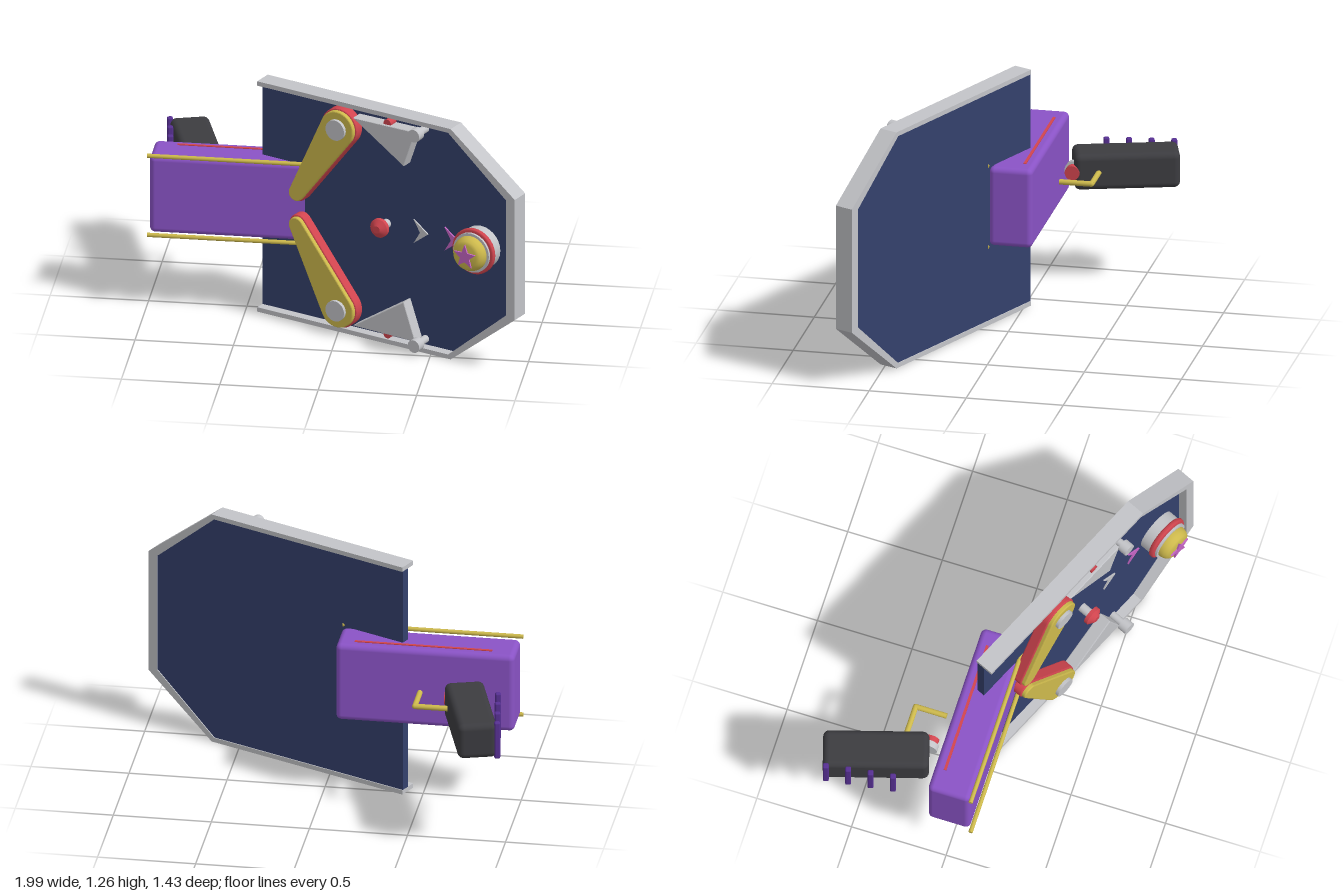
import * as THREE from 'three';
import { RoundedBoxGeometry } from 'three/addons/geometries/RoundedBoxGeometry.js';

const paint = (name, color) => {
  const m = new THREE.MeshStandardMaterial({ color });
  m.name = name;
  return m;
};

export function createModel() {
  const navy = paint('navy', 0x34406c), grey = paint('light grey', 0xc3c4c8);
  const purple = paint('purple', 0x8a53c6), dark = paint('charcoal', 0x3c3c40);
  const yellow = paint('yellow', 0xcdb94c), red = paint('red', 0xd2454f);
  const pink = paint('pink', 0xc565c4), violet = paint('dark violet', 0x573093);

  const model = new THREE.Group();
  model.name = 'pinballShield';

  const add = (parent, name, geo, mat, x = 0, y = 0, z = 0) => {
    const m = new THREE.Mesh(geo, mat);
    m.name = name;
    m.position.set(x, y, z);
    parent.add(m);
    return m;
  };
  const poly = pts => new THREE.Shape(pts.map(p => new THREE.Vector2(p[0], p[1])));
  // Plate with its outline in the board plane, from depth n0 to n1
  const plate = (parent, name, shape, mat, n0, n1, bevel = 0) => add(parent, name,
    new THREE.ExtrudeGeometry(shape, {
      depth: n1 - n0 - 2 * bevel, curveSegments: 20, bevelEnabled: bevel > 0,
      bevelSize: bevel, bevelThickness: bevel, bevelOffset: -bevel, bevelSegments: 2,
    }), mat, 0, 0, n0 + bevel);
  // Round part standing on the board
  const peg = (parent, name, mat, u, v, n0, n1, r0, r1 = r0) => add(parent, name,
    new THREE.CylinderGeometry(r1, r0, n1 - n0, 28).rotateX(Math.PI / 2), mat, u, v, (n0 + n1) / 2);
  // Two circles joined by their outer tangents
  const taper = (ax, ay, ra, bx, by, rb) => {
    const th = Math.atan2(by - ay, bx - ax);
    const beta = Math.acos((ra - rb) / Math.hypot(bx - ax, by - ay));
    const s = new THREE.Shape();
    s.absarc(ax, ay, ra, th + beta, th - beta + Math.PI * 2, false);
    s.absarc(bx, by, rb, th - beta, th + beta, false);
    s.closePath();
    return s;
  };

  // Tilted playfield board
  const board = new THREE.Group();
  board.name = 'board';
  board.position.set(0.278, 0.633, 0.325);
  board.rotation.y = -24 * Math.PI / 180;
  model.add(board);

  const outer = [[-0.763, 0.632], [0.383, 0.632], [0.763, 0.33]];
  const inner = [[-0.763, 0.608], [0.368, 0.608], [0.711, 0.316]];
  const flip = pts => pts.map(([u, v]) => [u, -v]).reverse();
  plate(board, 'playfieldPanel', poly([...inner, ...flip(inner)]), navy, -0.045, 0);
  plate(board, 'rim', poly([...outer, ...flip(outer), ...inner.map(([u, v]) => [u, -v]),
    ...[...inner].reverse()]), grey, -0.05, 0.05);

  // Flippers and slingshots, mirrored top to bottom
  for (const s of [1, -1]) {
    const side = s > 0 ? 'upper' : 'lower';
    plate(board, side + 'FlipperRubber', taper(-0.268, s * 0.496, 0.104, -0.512, s * 0.088, 0.05), red, 0.01, 0.068, 0.006);
    plate(board, side + 'FlipperTop', taper(-0.268, s * 0.496, 0.096, -0.512, s * 0.088, 0.042), yellow, 0.06, 0.09, 0.006);
    peg(board, side + 'FlipperPivot', grey, -0.268, s * 0.496, 0.08, 0.108, 0.055);
    plate(board, side + 'Slingshot', poly([[-0.185, s * 0.57], [0.185, s * 0.575], [0.115, s * 0.372]]), grey, 0, 0.068, 0.005);
    peg(board, side + 'SlingshotBumper', red, 0.01, s * 0.578, 0, 0.055, 0.022);
    peg(board, side + 'PostStem', grey, 0.205, s * 0.577, 0, 0.075, 0.02);
    peg(board, side + 'PostHead', grey, 0.205, s * 0.577, 0.07, 0.118, 0.034);
  }

  // Centre pin
  peg(board, 'pinStem', grey, -0.025, 0.004, 0, 0.065, 0.024);
  peg(board, 'pinHead', red, -0.025, 0.004, 0.06, 0.08, 0.05);
  peg(board, 'pinHeadSlope', red, -0.025, 0.004, 0.08, 0.102, 0.05, 0.02);

  // Lane chevrons
  const chevron = (u, w, h) => poly([[u, h], [u + w, 0], [u, -h], [u + w * 0.45, 0]]);
  plate(board, 'greyChevron', chevron(0.137, 0.085, 0.065), grey, 0, 0.008);
  plate(board, 'pinkChevron', chevron(0.32, 0.085, 0.065), pink, 0, 0.008);

  // Round bumper with a star on its cap
  const bumper = new THREE.Group();
  bumper.name = 'bumper';
  bumper.position.set(0.535, 0.006, 0);
  board.add(bumper);
  peg(bumper, 'bumperBase', grey, 0, 0, 0, 0.062, 0.112);
  const ring = [[0, 0.056], [0.112, 0.056], [0.122, 0.064], [0.122, 0.08], [0.114, 0.088], [0, 0.088]];
  const dome = [[0.092, 0.098], [0.092, 0.112], [0.088, 0.128], [0.078, 0.144], [0.062, 0.154], [0, 0.158]];
  const lathe = pts => new THREE.LatheGeometry(pts.map(p => new THREE.Vector2(p[0], p[1])), 36).rotateX(Math.PI / 2);
  add(bumper, 'bumperRing', lathe(ring), red);
  peg(bumper, 'bumperCollar', grey, 0, 0, 0.085, 0.1, 0.106);
  add(bumper, 'bumperCap', lathe(dome), yellow);
  const star = Array.from({ length: 10 }, (_, i) => {
    const a = Math.PI / 2 + i * Math.PI / 5, r = i % 2 ? 0.028 : 0.066;
    return [r * Math.cos(a), r * Math.sin(a)];
  });
  plate(bumper, 'star', poly(star), pink, 0.155, 0.164);

  // Purple arm housing with rails and stripes
  add(model, 'armHousing', new RoundedBoxGeometry(0.91, 0.42, 0.222, 4, 0.028), purple, -0.525, 0.635, 0.006);
  for (const s of [1, -1]) {
    add(model, 'rail', new THREE.CylinderGeometry(0.011, 0.011, 0.92, 12).rotateZ(Math.PI / 2),
      yellow, -0.53, 0.635 + s * 0.217, 0.126);
    add(model, 'stripe', new THREE.BoxGeometry(0.7, 0.009, 0.014), red, -0.51, 0.635 + s * 0.21, -0.05);
  }

  // Dark rear grip block
  const grip = add(model, 'gripBlock', new RoundedBoxGeometry(0.2, 0.19, 0.535, 4, 0.032), dark, -0.812, 0.635, -0.43);
  grip.rotation.y = 16.8 * Math.PI / 180;
  for (let i = 0; i < 4; i++) {
    const bar = add(model, 'gripBar', new RoundedBoxGeometry(0.03, 0.2, 0.03, 2, 0.008), violet,
      -0.98 + i * 0.0165, 0.635, -0.642 + i * 0.113);
    bar.rotation.y = 16.8 * Math.PI / 180;
  }

  // Side button and bent yellow lever
  const disc = (name, mat, r, w, x, z) => add(model, name,
    new THREE.CylinderGeometry(r, r, w, 24).rotateZ(Math.PI / 2), mat, x, 0.635, z);
  disc('buttonPlate', grey, 0.054, 0.032, -0.69, -0.196);
  disc('button', red, 0.038, 0.05, -0.667, -0.188);
  disc('leverArm', yellow, 0.014, 0.17, -0.593, -0.318);
  add(model, 'leverElbow', new THREE.SphereGeometry(0.014, 14, 10), yellow, -0.508, 0.635, -0.318);
  add(model, 'leverHandle', new THREE.CylinderGeometry(0.014, 0.014, 0.165, 24).rotateX(Math.PI / 2),
    yellow, -0.508, 0.635, -0.236);

  return model;
}
